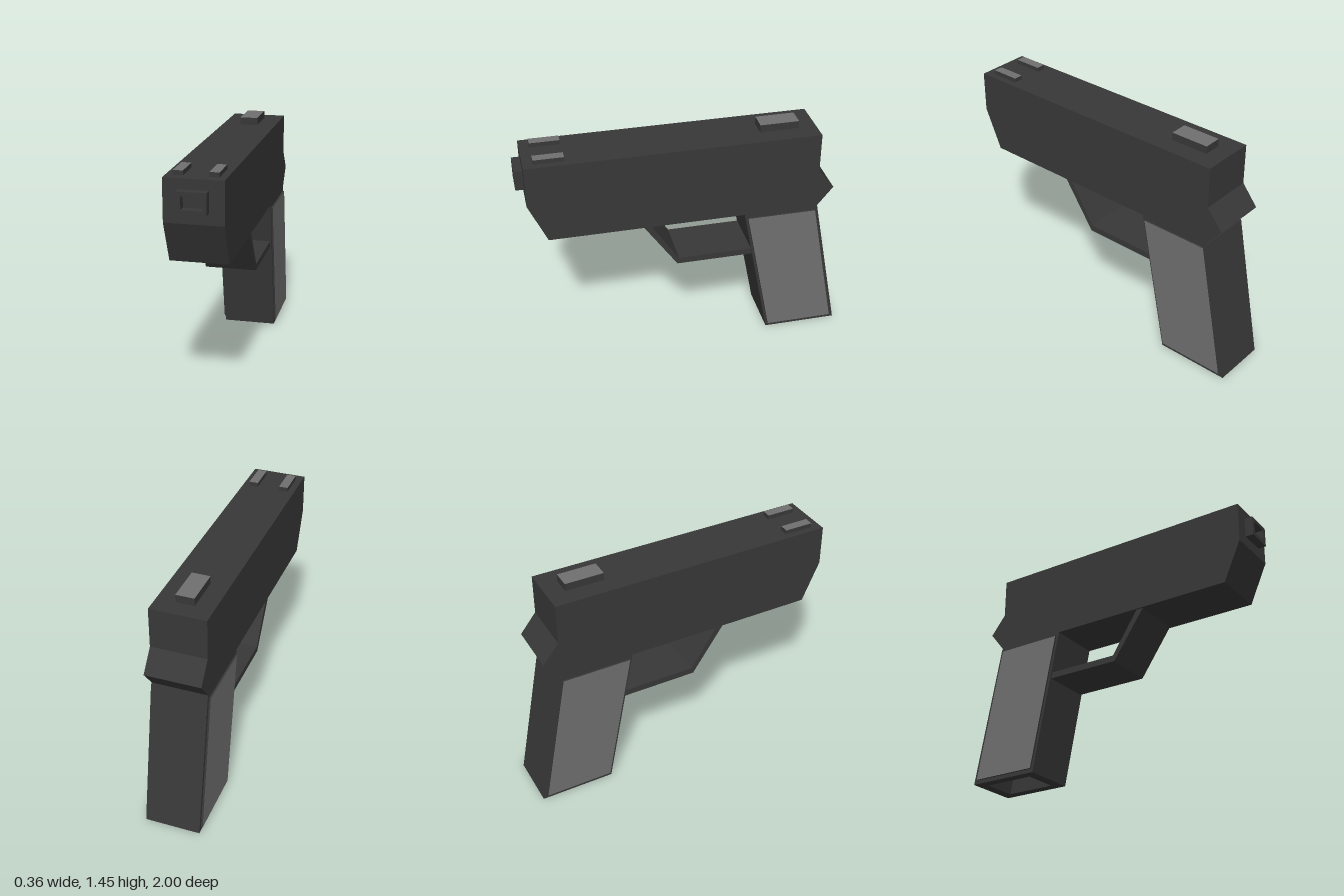
import * as THREE from 'three';

const dark = new THREE.MeshStandardMaterial({ color: 0x383838, flatShading: true });
const light = new THREE.MeshStandardMaterial({ color: 0x707070, flatShading: true });

const toShape = (pts) => new THREE.Shape(pts.map(([a, b]) => new THREE.Vector2(a, b)));

// Rectangle outline with a centred rectangular hole
function frame(w, h, holeW, holeH) {
  const rect = (a, b) => [[-a / 2, -b / 2], [a / 2, -b / 2], [a / 2, b / 2], [-a / 2, b / 2]];
  const shape = toShape(rect(w, h));
  shape.holes.push(toShape(rect(holeW, holeH)));
  return shape;
}

// Side profile given as [z, y], extruded across x and centred on x = 0
function sideProfile(pts, width) {
  const geo = new THREE.ExtrudeGeometry(toShape(pts), { depth: width, bevelEnabled: false });
  return geo.translate(0, 0, -width / 2).rotateY(-Math.PI / 2);
}

export function createModel() {
  const model = new THREE.Group();
  const add = (name, geo, material = dark) => {
    const mesh = new THREE.Mesh(geo, material);
    mesh.name = name;
    model.add(mesh);
    return mesh;
  };

  // Upper body with chamfered nose and pointed tail
  add('body', sideProfile([
    [0.95, 1.405], [-0.82, 1.405], [-0.82, 1.155], [-0.92, 1.03],
    [-0.82, 0.905], [0.84, 0.905], [0.95, 1.155],
  ], 0.34));

  // Hollow grip: a rectangular tube sheared forward towards the body
  const height = 0.905;
  const grip = new THREE.ExtrudeGeometry(frame(0.34, 0.465, 0.22, 0.33), { depth: height, bevelEnabled: false });
  grip.rotateX(-Math.PI / 2);
  const pos = grip.attributes.position;
  for (let i = 0; i < pos.count; i++) {
    pos.setZ(i, pos.getZ(i) - 0.7675 + 0.175 * pos.getY(i) / height);
  }
  grip.computeVertexNormals();
  add('grip', grip);

  // Raised side panels: light faces, dark rims
  for (const side of [1, -1]) {
    const panel = add(side > 0 ? 'leftGripPanel' : 'rightGripPanel', sideProfile([
      [-0.381, 0.88], [-0.81, 0.88], [-0.972, 0.025], [-0.546, 0.025],
    ], 0.02), [light, dark]);
    panel.position.x = side * 0.171;
  }

  // Bent trigger guard strip
  add('triggerGuard', sideProfile([
    [0.272, 0.91], [0.226, 0.91], [0.05, 0.64], [-0.43, 0.64],
    [-0.43, 0.6], [0.06, 0.6],
  ], 0.32));

  // Square muzzle with a recessed opening
  add('muzzle', new THREE.ExtrudeGeometry(frame(0.168, 0.125, 0.116, 0.075), { depth: 0.05, bevelEnabled: false }))
    .position.set(0, 1.283, 0.95);

  // Sights with light top faces
  const sight = (name, w, h, d, x, z) => {
    add(name, new THREE.BoxGeometry(w, h, d), [dark, dark, light, dark, dark, dark])
      .position.set(x, 1.405 + h / 2, z);
  };
  sight('leftFrontSight', 0.057, 0.027, 0.18, 0.1, 0.8);
  sight('rightFrontSight', 0.057, 0.027, 0.18, -0.1, 0.8);
  sight('rearSight', 0.112, 0.047, 0.24, 0, -0.59);

  return model;
}
